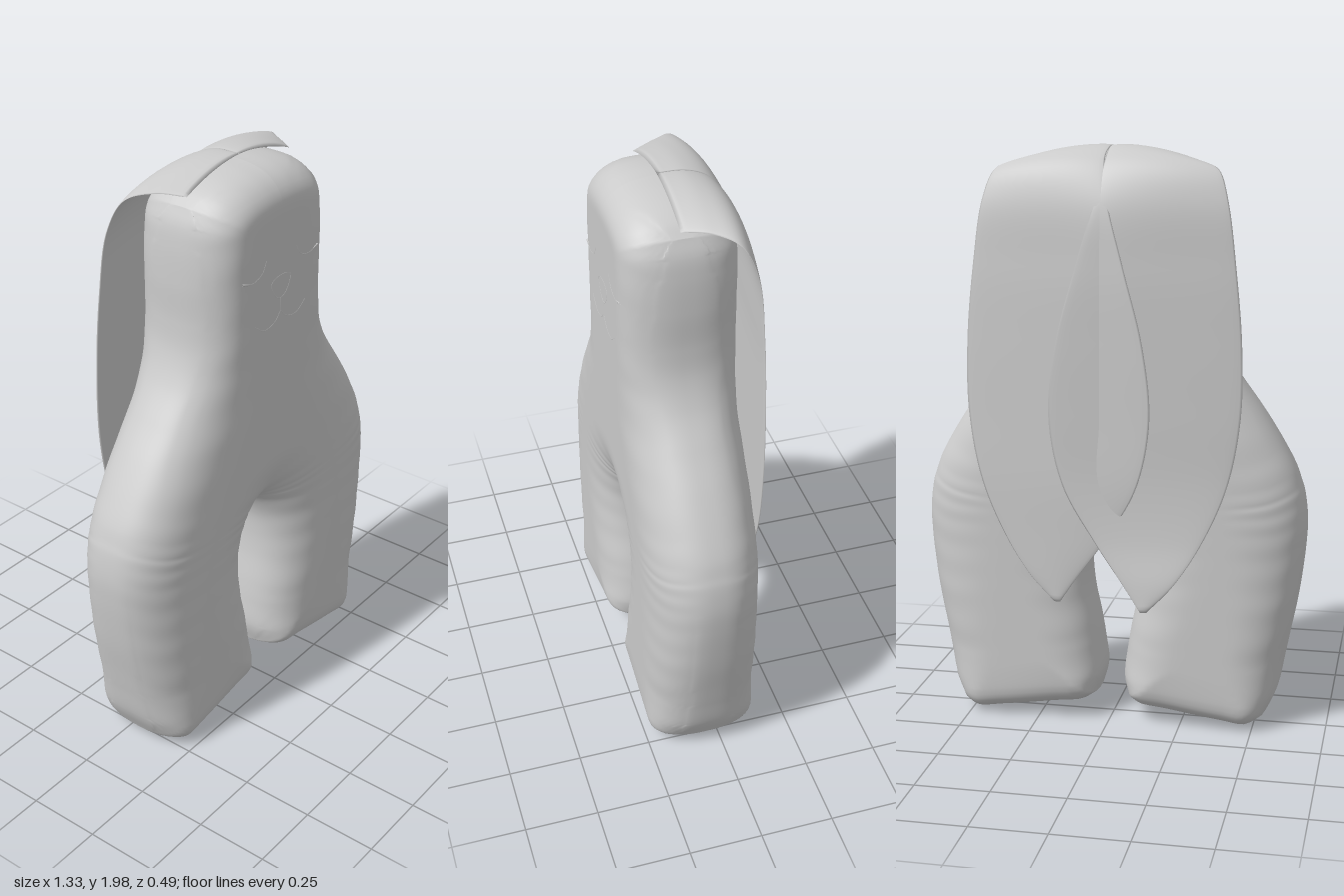
import * as THREE from 'three';
import { mergeVertices } from 'three/addons/utils/BufferGeometryUtils.js';

const grey = () => new THREE.MeshStandardMaterial({ color: 0xcccccc, side: THREE.DoubleSide });
const V3 = (x, y, z = 0) => new THREE.Vector3(x, y, z);
const spline = (pts) => new THREE.CatmullRomCurve3(pts.map(([x, y]) => V3(x, y)), false, 'centripetal');

// Half body, foot to crown: inner x, y (inside leg, crotch, then centre line), outer x, y
const BODY = [
  [0.055, 0.075, 0.535, 0.035], [0.037, 0.15, 0.575, 0.12], [0.047, 0.25, 0.6, 0.24],
  [0.06, 0.33, 0.617, 0.33], [0.082, 0.44, 0.638, 0.44], [0.09, 0.53, 0.652, 0.54],
  [0.086, 0.61, 0.662, 0.64], [0.062, 0.68, 0.665, 0.72], [0.03, 0.722, 0.66, 0.78],
  [0, 0.735, 0.651, 0.83], [0, 0.755, 0.641, 0.86], [0, 0.79, 0.623, 0.91],
  [0, 0.86, 0.58, 0.99], [0, 1.0, 0.51, 1.1], [0, 1.15, 0.43, 1.21], [0, 1.3, 0.357, 1.32],
  [0, 1.42, 0.318, 1.42], [0, 1.55, 0.305, 1.52], [0, 1.7, 0.304, 1.65],
  [0, 1.82, 0.297, 1.77], [0, 1.91, 0.285, 1.84], [0, 1.972, 0.262, 1.893],
];
const CROTCH = 9;
const SOLE = [[0.055, 0.075], [0.1, 0.05], [0.2, 0.036], [0.38, 0.012], [0.48, 0.004], [0.535, 0.035]];
const CROWN = [[0, 1.972], [0.08, 1.968], [0.16, 1.954], [0.22, 1.928], [0.262, 1.893]];

// Distance from the seam at which the padding is full, by height: [y, distance]
const PADDING = [[0, 0.075], [0.25, 0.2], [0.75, 0.28], [1.15, 0.25], [1.5, 0.15], [2, 0.13]];
function paddingAt(y) {
  const i = Math.max(1, PADDING.findIndex(([h]) => y <= h));
  const [y0, a] = PADDING[i - 1], [y1, b] = PADDING[i];
  return a + (b - a) * THREE.MathUtils.smoothstep(y, y0, y1);
}

function meshGeometry(positions, index) {
  const g = new THREE.BufferGeometry();
  g.setAttribute('position', new THREE.Float32BufferAttribute(positions, 3));
  g.setIndex(index);
  const merged = mergeVertices(g, 1e-5);
  merged.computeVertexNormals();
  return merged;
}

// Flat grid filling half of the body outline, with the points on the seam
function halfGrid(S, U) {
  const last = BODY.length - 1, rows = last * S;
  const leg = spline(BODY.slice(0, CROTCH + 1)), outer = spline(BODY.map((r) => [r[2], r[3]]));
  const sole = spline(SOLE), crown = spline(CROWN);
  const inner = (t) => {
    if (t <= CROTCH) return leg.getPoint(t / CROTCH);
    const i = Math.min(Math.floor(t), last - 1);
    return V3(0, THREE.MathUtils.lerp(BODY[i][1], BODY[i + 1][1], t - i));
  };
  const grid = [], seam = [];
  for (let r = 0; r <= rows; r++) {
    // rows crowd towards the sole and the crown
    let t = r / S;
    if (t < 1) t = t * t;
    else if (t > last - 1) t = last - (last - t) ** 2;
    const v = t / last, a = inner(t), b = outer.getPoint(v);
    for (let c = 0; c <= U; c++) {
      const u = (1 - Math.cos((Math.PI * c) / U)) / 2;
      const low = sole.getPoint(u).sub(sole.getPoint(0).lerp(sole.getPoint(1), u));
      const high = crown.getPoint(u).sub(crown.getPoint(0).lerp(crown.getPoint(1), u));
      const p = a.clone().lerp(b, u).addScaledVector(low, 1 - v).addScaledVector(high, v);
      grid.push(p);
      if (r === 0 || r === rows || c === U || (c === 0 && t <= CROTCH)) seam.push(p);
    }
  }
  return { grid, seam, rows };
}

// Body: padded front and back swelling up from the seam, mirrored left and right
function bodyGeometry() {
  const S = 12, U = 44, zMid = 0.05, halfDepth = 0.192, power = 2.4;
  const { grid, seam, rows } = halfGrid(S, U);
  const swell = grid.map((p, i) => {
    let d2 = Infinity;
    for (const q of seam) d2 = Math.min(d2, (p.x - q.x) ** 2 + (p.y - q.y) ** 2);
    // faint gathers running in from the seam
    const gather = 1 + 0.015 * Math.sin(Math.floor(i / (U + 1)) * 0.45);
    const t = Math.min(1, Math.sqrt(d2) / (paddingAt(p.y) * gather));
    return halfDepth * (1 - (1 - t) ** power) ** (1 / power);
  });
  const pos = [], idx = [];
  for (const side of [1, -1]) {
    for (const face of [1, -1]) {
      const base = pos.length / 3;
      grid.forEach((p, i) => pos.push(side * p.x, p.y, zMid + face * swell[i]));
      for (let r = 0; r < rows; r++) {
        for (let c = 0; c < U; c++) {
          const a = base + r * (U + 1) + c, b = a + 1, d = a + U + 1, e = d + 1;
          if (side * face > 0) idx.push(a, b, e, a, e, d);
          else idx.push(a, e, b, a, d, e);
        }
      }
    }
  }
  return meshGeometry(pos, idx);
}

// Ear stations from the front of the crown, over the head and down to the tip:
// outer x, y, z, inner x, y, z
const EAR = [
  [0.265, 1.925, 0.068, 0.0, 1.983, 0.065],
  [0.315, 1.93, -0.02, 0.0, 1.978, -0.03],
  [0.375, 1.908, -0.09, 0.0, 1.94, -0.11],
  [0.41, 1.81, -0.132, -0.02, 1.82, -0.178],
  [0.44, 1.6, -0.147, -0.08, 1.6, -0.208],
  [0.463, 1.35, -0.15, -0.145, 1.35, -0.217],
  [0.462, 1.1, -0.152, -0.17, 1.1, -0.218],
  [0.42, 0.87, -0.158, -0.125, 0.87, -0.214],
  [0.34, 0.68, -0.163, -0.015, 0.68, -0.195],
  [0.25, 0.54, -0.17, 0.085, 0.54, -0.18],
  [0.165, 0.45, -0.172, 0.145, 0.45, -0.174],
];

// Ear: thin lens-shaped cross-sections swept along the stations
function earGeometry(side) {
  const ROWS = 72, M = 14, thick = 0.007;
  // the right ear's tip hangs behind the left one
  const lift = (y) => (side < 0 ? -0.068 * (1 - THREE.MathUtils.smoothstep(y, 0.4, 0.85)) : 0);
  const make = (o) => new THREE.CatmullRomCurve3(
    EAR.map((r) => V3(side * r[o], r[o + 1], r[o + 2] + lift(r[o + 1]))), false, 'centripetal');
  const outer = make(0), inner = make(3);
  const pos = [], idx = [], ring = 2 * M;
  const middle = (v) => outer.getPoint(v).add(inner.getPoint(v)).multiplyScalar(0.5);
  for (let r = 0; r <= ROWS; r++) {
    const v = r / ROWS, o = outer.getPoint(v), n = inner.getPoint(v);
    const t = middle(Math.min(1, v + 0.01)).sub(middle(Math.max(0, v - 0.01)));
    const up = V3(0, -t.z, t.y).normalize();
    const end = Math.min(1, r, ROWS - r);
    const bow = 0.014 * (1 - THREE.MathUtils.smoothstep(v, 0.2, 0.4));
    for (let c = 0; c < ring; c++) {
      const a = (Math.PI * 2 * c) / ring, s = Math.cos(a);
      const h = bow * (1 - s * s) + thick * Math.sin(a) * end;
      const p = o.clone().lerp(n, (1 - s) / 2).addScaledVector(up, h);
      pos.push(p.x, p.y, p.z);
    }
  }
  for (let r = 0; r < ROWS; r++) {
    for (let c = 0; c < ring; c++) {
      const a = r * ring + c, b = r * ring + ((c + 1) % ring);
      if (side > 0) idx.push(a, b + ring, b, a, a + ring, b + ring);
      else idx.push(a, b, b + ring, a, b + ring, a + ring);
    }
  }
  return meshGeometry(pos, idx);
}

// Stitch: a thin thread sunk into the front of the face
function stitch(name, points, closed = false) {
  const curve = new THREE.CatmullRomCurve3(points.map(([x, y]) => V3(x, y, 0.239)), closed);
  const mesh = new THREE.Mesh(new THREE.TubeGeometry(curve, 24, 0.004, 6, closed), grey());
  mesh.name = name;
  return mesh;
}

export function createModel() {
  const group = new THREE.Group();
  group.name = 'pillowRabbit';

  const body = new THREE.Mesh(bodyGeometry(), grey());
  body.name = 'body';
  group.add(body);

  for (const side of [1, -1]) {
    const label = side > 0 ? 'left' : 'right';
    const ear = new THREE.Mesh(earGeometry(side), grey());
    ear.name = label + 'Ear';
    ear.position.x = 0.01;
    group.add(ear);
    group.add(stitch(label + 'Eye', [[0.08, 1.7], [0.1, 1.665], [0.145, 1.648], [0.2, 1.66]]
      .map(([x, y]) => [side * x, y])));
    group.add(stitch(label + 'Mouth', [[0, 1.5], [0.03, 1.47], [0.085, 1.46], [0.135, 1.49]]
      .map(([x, y]) => [side * x, y])));
  }

  // Nose and the line below it
  group.add(stitch('nose', [[-0.05, 1.61], [0, 1.625], [0.05, 1.61], [0.03, 1.56], [0, 1.545], [-0.03, 1.56]], true));
  group.add(stitch('noseLine', [[0, 1.545], [0, 1.5]]));
  return group;
}
